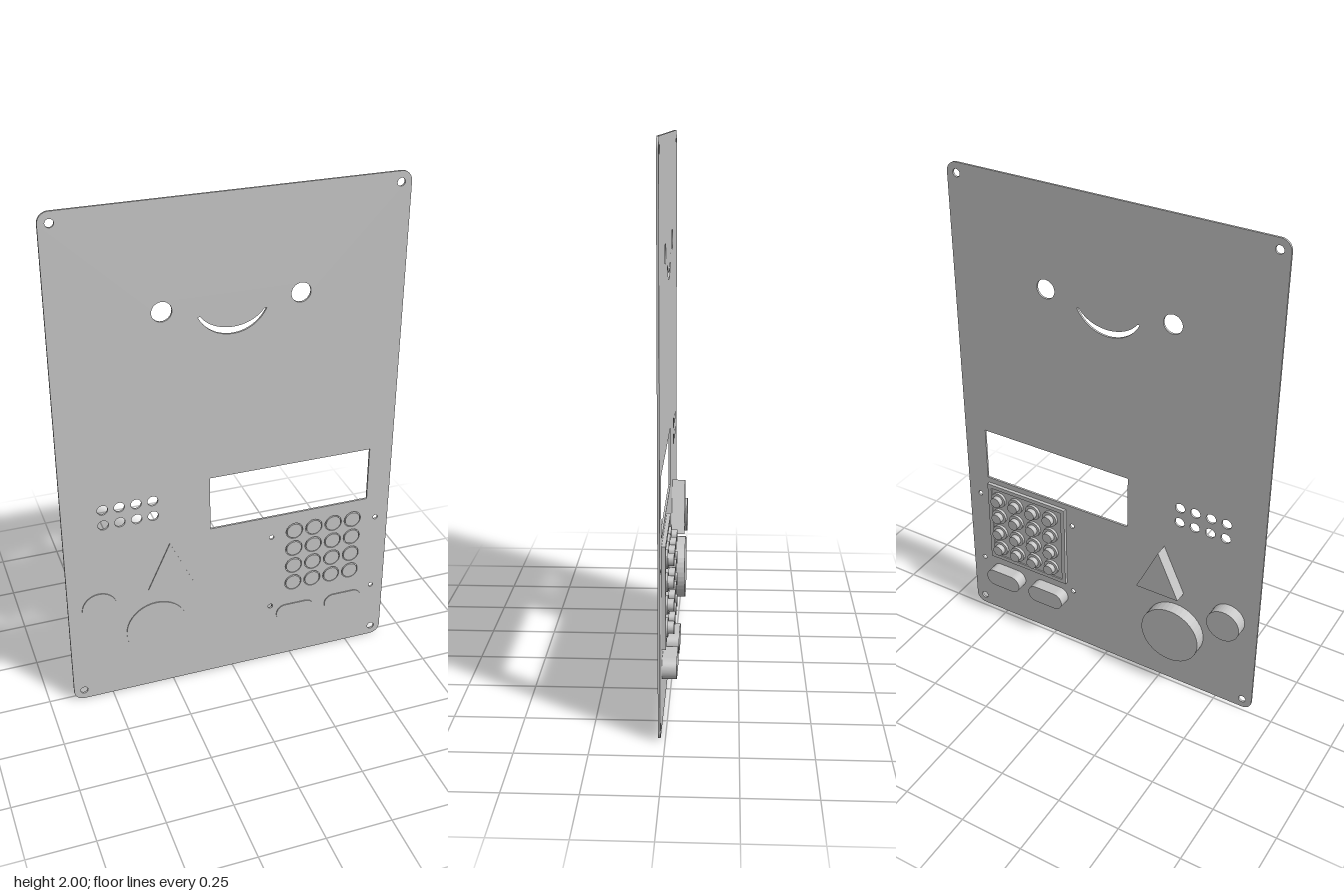
import * as THREE from 'three';

const grey = new THREE.MeshStandardMaterial({ color: 0xc5c5c5 });
grey.name = 'panelGrey';

const BACK = 0.016, FRONT = 0.024; // faces of the panel
const BUTTON_BACK = -0.035, BUTTON_FRONT = 0.028;
const KEY_X = [0.257, 0.339, 0.421, 0.503];
const KEY_Y = [0.352, 0.434, 0.516, 0.598];

function circle(x, y, r, Type = THREE.Path) {
  const p = new Type();
  p.absarc(x, y, r, 0, Math.PI * 2, false);
  return p;
}

function rect(x0, y0, x1, y1, Type = THREE.Path) {
  return new Type([[x0, y0], [x1, y0], [x1, y1], [x0, y1]].map((p) => new THREE.Vector2(...p)));
}

function roundRect(x0, y0, x1, y1, r) {
  const s = new THREE.Shape();
  s.absarc(x1 - r, y0 + r, r, -Math.PI / 2, 0, false);
  s.absarc(x1 - r, y1 - r, r, 0, Math.PI / 2, false);
  s.absarc(x0 + r, y1 - r, r, Math.PI / 2, Math.PI, false);
  s.absarc(x0 + r, y0 + r, r, Math.PI, Math.PI * 1.5, false);
  s.closePath();
  return s;
}

// Extrude an outline between two z positions
function slab(name, shape, z0, z1) {
  const geo = new THREE.ExtrudeGeometry(shape, { depth: z1 - z0, bevelEnabled: false, curveSegments: 20 });
  geo.translate(0, 0, z0);
  const mesh = new THREE.Mesh(geo, grey);
  mesh.name = name;
  return mesh;
}

function makePanel() {
  const panel = roundRect(-0.655, 0, 0.655, 2, 0.04);
  const holes = panel.holes;
  for (const side of [-1, 1]) {
    holes.push(circle(side * 0.615, 1.96, 0.015), circle(side * 0.615, 0.04, 0.015)); // corner screws
    holes.push(circle(side * 0.255, 1.602, 0.037)); // eyes
  }
  // smile
  const smile = new THREE.Path();
  smile.moveTo(-0.127, 1.563);
  smile.bezierCurveTo(-0.075, 1.456, 0.075, 1.456, 0.127, 1.563);
  smile.lineTo(0.118, 1.563);
  smile.bezierCurveTo(0.065, 1.491, -0.065, 1.491, -0.118, 1.563);
  smile.closePath();
  holes.push(smile);
  // display window
  holes.push(rect(-0.088, 0.683, 0.56, 0.908));
  // speaker grille
  for (const x of [-0.5, -0.437, -0.373, -0.31]) {
    for (const y of [0.79, 0.855]) holes.push(circle(x, y, 0.02));
  }
  // keypad screws and key openings
  for (const x of [0.162, 0.603]) for (const y of [0.255, 0.588]) holes.push(circle(x, y, 0.01));
  for (const x of KEY_X) for (const y of KEY_Y) holes.push(circle(x, y, 0.035));
  return slab('panel', panel, BACK, FRONT);
}

function makeKeypad() {
  const keypad = new THREE.Group();
  keypad.name = 'keypad';
  keypad.add(slab('keypadBoard', rect(0.19, 0.29, 0.555, 0.66, THREE.Shape), 0.007, BACK));
  const rim = rect(0.19, 0.29, 0.555, 0.66, THREE.Shape);
  rim.holes.push(rect(0.207, 0.307, 0.538, 0.643));
  keypad.add(slab('keypadRim', rim, 0.002, 0.007));
  for (const x of KEY_X) {
    for (const y of KEY_Y) {
      keypad.add(slab('keyCap', circle(x, y, 0.031, THREE.Shape), BACK, 0.026));
      keypad.add(slab('keyCollar', circle(x, y, 0.033, THREE.Shape), -0.004, 0.007));
      keypad.add(slab('keyStem', circle(x, y, 0.022, THREE.Shape), -0.025, -0.004));
    }
  }
  return keypad;
}

export function createModel() {
  const model = new THREE.Group();
  model.name = 'controlPanel';
  model.add(makePanel(), makeKeypad());

  // buttons passing through the panel
  const triangle = new THREE.Shape([[-0.34, 0.46], [-0.16, 0.46], [-0.25, 0.655]].map((p) => new THREE.Vector2(...p)));
  const buttons = {
    largeRoundButton: circle(-0.31, 0.271, 0.123, THREE.Shape),
    smallRoundButton: circle(-0.533, 0.42, 0.068, THREE.Shape),
    triangleButton: triangle,
    rightOvalButton: roundRect(0.188, 0.172, 0.35, 0.248, 0.038),
    leftOvalButton: roundRect(0.397, 0.172, 0.558, 0.248, 0.038),
  };
  for (const [name, shape] of Object.entries(buttons)) {
    model.add(slab(name, shape, BUTTON_BACK, BUTTON_FRONT));
  }
  return model;
}
